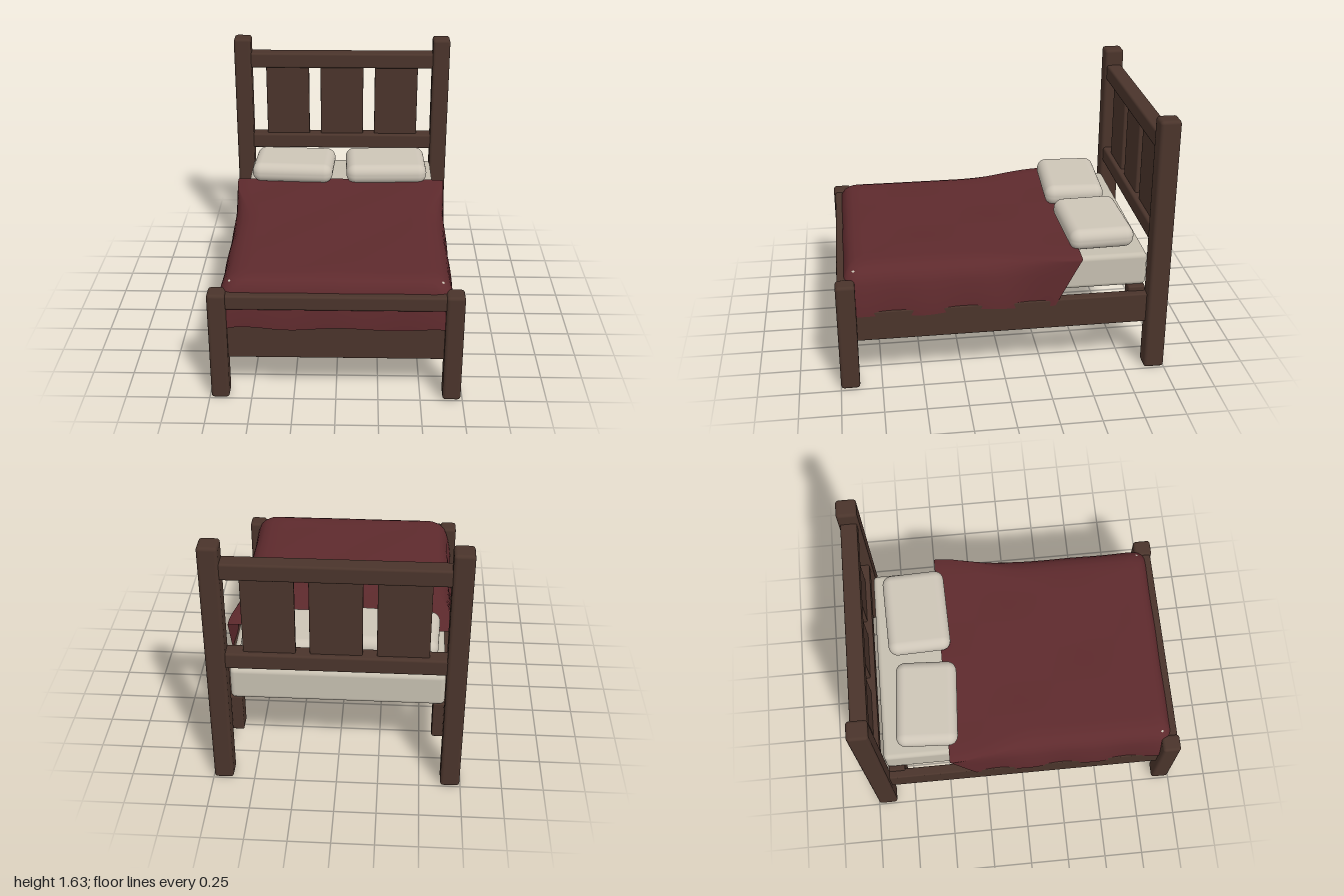
import * as THREE from 'three';
import { RoundedBoxGeometry } from 'three/addons/geometries/RoundedBoxGeometry.js';

const mat = (name, color, side = THREE.FrontSide) => {
  const m = new THREE.MeshStandardMaterial({ color, side });
  m.name = name;
  return m;
};

// Rounded box given by its min and max corners
function block(name, material, [x0, y0, z0], [x1, y1, z1], radius = 0.014, segments = 2) {
  const geo = new RoundedBoxGeometry(x1 - x0, y1 - y0, z1 - z0, segments, radius);
  const mesh = new THREE.Mesh(geo, material);
  mesh.position.set((x0 + x1) / 2, (y0 + y1) / 2, (z0 + z1) / 2);
  mesh.name = name;
  return mesh;
}

// Draped cloth: U-shaped rings rise from the hem, roll over the edge and close on the spine
function blanketGeometry() {
  const SIDE = 48, ARC = 6, FRONT = 30, R = 0.07, CAP = 10;
  const backZ = -0.47, topY = 0.768, frontZ = 0.975;
  // [height, inset from the outer face]
  const profile = [[0.47, 0], [0.51, 0.002], [0.56, 0.008], [0.62, 0.018], [0.67, 0.03],
    [0.7, 0.042], [0.73, 0.062], [0.753, 0.09], [0.768, 0.135]];
  const lerp = THREE.MathUtils.lerp;
  const rings = profile.map(([y, inset]) => {
    const ring = [];
    const drop = (topY - y) / (topY - 0.47);
    const zb = backZ + 0.16 * drop;
    const zf = frontZ - inset * 0.75;
    const half = (z) => 0.7 - inset * THREE.MathUtils.smoothstep(z, -0.45, 0.15);
    const side = [];
    for (let i = 0; i < SIDE; i++) {
      const z = lerp(zb, zf - R, i / SIDE);
      side.push([half(z) + 0.007 * drop * Math.sin(z * 15 + 1), y + 0.008 * drop * Math.sin(z * 9), z]);
    }
    const w = 0.7 - inset;
    const corner = [];
    for (let i = 0; i <= ARC; i++) {
      const a = (i / ARC) * Math.PI / 2;
      corner.push([w - R + R * Math.cos(a), y, zf - R + R * Math.sin(a)]);
    }
    const mirror = (list) => list.map(([x, py, z]) => [-x, py, z]).reverse();
    ring.push(...side, ...corner);
    for (let i = 1; i < FRONT; i++) {
      const x = lerp(w - R, R - w, i / FRONT);
      ring.push([x, y + 0.008 * drop * Math.sin(x * 11 + 1), zf + 0.004 * drop * Math.sin(x * 14)]);
    }
    ring.push(...mirror(corner), ...mirror(side));
    return ring;
  });
  const edge = rings[rings.length - 1];
  for (let k = 1; k <= CAP; k++) {
    const f = k / CAP;
    rings.push(edge.map(([x, y, z]) => {
      const px = x * (1 - f), pz = lerp(z, Math.min(z, 0.4), f);
      const ripple = 0.005 * Math.min(1, f * 3) * Math.sin(px * 9 + pz * 2) * Math.cos(pz * 7);
      return [px, y + 0.003 + ripple, pz];
    }));
  }
  const n = edge.length, index = [];
  for (let j = 0; j < rings.length - 1; j++) {
    for (let i = 0; i < n - 1; i++) {
      const a = j * n + i, c = a + n;
      index.push(a, c, a + 1, a + 1, c, c + 1);
    }
  }
  const geo = new THREE.BufferGeometry();
  geo.setAttribute('position', new THREE.Float32BufferAttribute(rings.flat(2), 3));
  geo.setIndex(index);
  geo.computeVertexNormals();
  return geo;
}

export function createModel() {
  const wood = mat('dark wood', 0x4a342b);
  const red = mat('red blanket', 0x5e2a2d, THREE.DoubleSide);
  const linen = mat('pillow linen', 0xcdc5b7);
  const ticking = mat('mattress cloth', 0xc6bfb0);

  const bed = new THREE.Group();
  bed.name = 'bed';

  // Posts, side rails and corner blocks on both sides
  for (const [s, label] of [[1, 'left'], [-1, 'right']]) {
    const pair = (name, x0, x1, y0, y1, z0, z1, r) => bed.add(block(`${label} ${name}`, wood,
      [Math.min(s * x0, s * x1), y0, z0], [Math.max(s * x0, s * x1), y1, z1], r));
    pair('head post', 0.628, 0.745, 0, 1.635, -1, -0.875, 0.02);
    pair('foot post', 0.632, 0.74, 0, 0.7, 0.885, 1, 0.02);
    pair('side rail', 0.64, 0.7, 0.31, 0.505, -0.89, 0.9, 0.01);
    pair('head corner block', 0.565, 0.655, 0.283, 0.535, -0.875, -0.77, 0.01);
    pair('foot corner block', 0.565, 0.655, 0.283, 0.535, 0.78, 0.9, 0.01);
  }

  // Headboard
  bed.add(block('headboard top rail', wood, [-0.64, 1.425, -0.988], [0.64, 1.53, -0.888]));
  bed.add(block('headboard lower rail', wood, [-0.64, 0.828, -0.988], [0.64, 0.932, -0.888]));
  for (const x of [-0.38, 0, 0.38]) {
    bed.add(block('headboard panel', wood, [x - 0.15, 0.925, -0.958], [x + 0.15, 1.43, -0.918], 0.01));
  }

  // Footboard
  bed.add(block('footboard top rail', wood, [-0.64, 0.6, 0.9], [0.64, 0.692, 0.99]));
  bed.add(block('footboard panel', wood, [-0.64, 0.262, 0.915], [0.64, 0.61, 0.96], 0.01));

  // Bedding
  bed.add(block('mattress', ticking, [-0.632, 0.53, -0.885], [0.632, 0.745, 0.91], 0.03, 3));
  const blanket = new THREE.Mesh(blanketGeometry(), red);
  blanket.name = 'blanket';
  bed.add(blanket);

  // Pillows, each turned a little
  for (const [label, x, y, z, depth, turn] of [
    ['right', -0.32, 0.83, -0.585, 0.385, -0.055],
    ['left', 0.308, 0.82, -0.61, 0.4, 0.032],
  ]) {
    const pillow = new THREE.Mesh(new RoundedBoxGeometry(0.545, 0.132, depth, 6, 0.06), linen);
    pillow.name = `${label} pillow`;
    pillow.position.set(x, y, z);
    pillow.rotation.y = turn;
    bed.add(pillow);
  }
  return bed;
}
